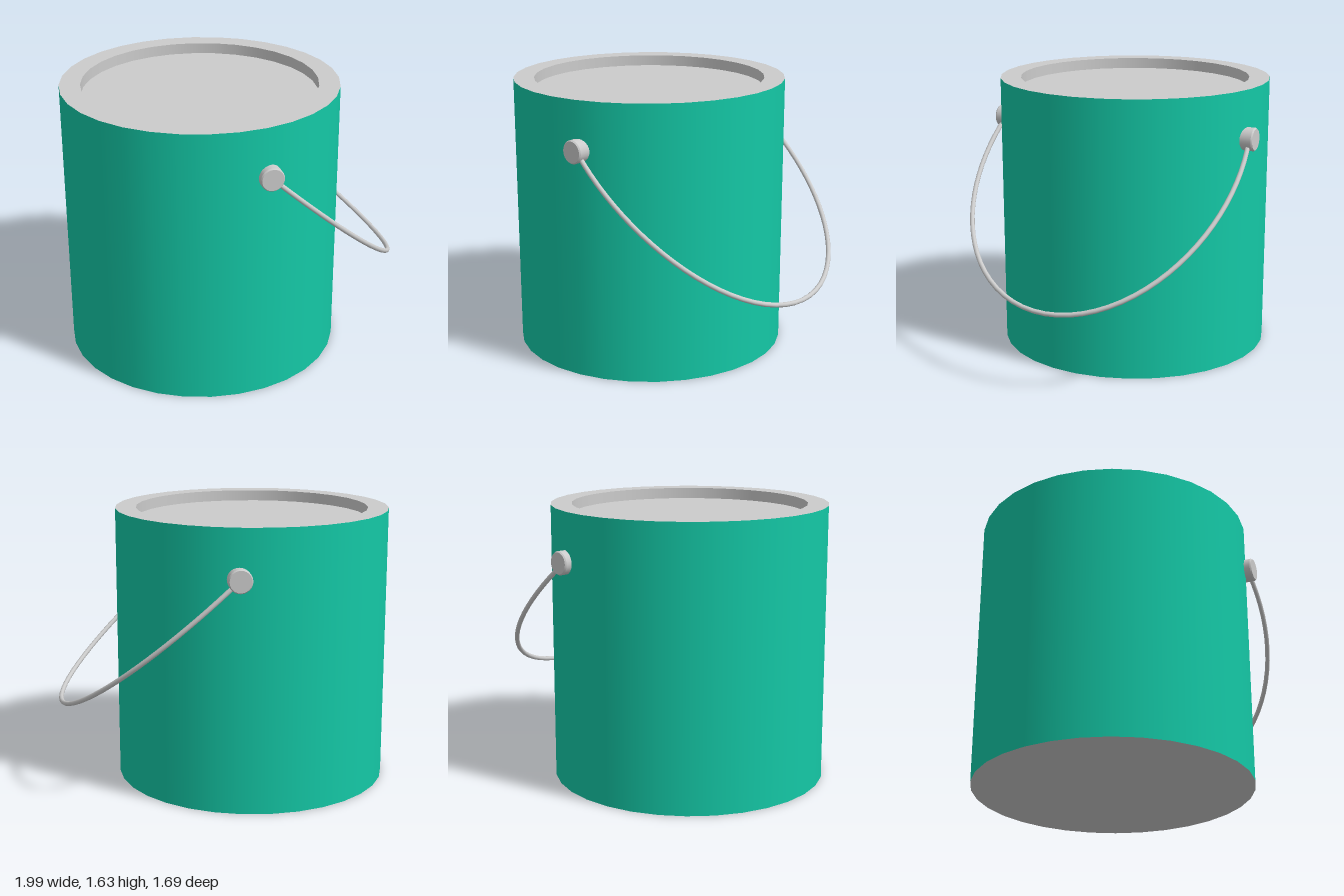
import * as THREE from 'three';

const R = 0.8125, H = 1.635, CX = -0.1875; // can radius, height, axis offset
const LID_R = 0.69, LID_DEPTH = 0.065;
const SIDES = 32;

export function createModel() {
  const model = new THREE.Group();
  const grey = new THREE.MeshStandardMaterial({ color: 0xcccccc });
  const green = new THREE.MeshStandardMaterial({ color: 0x14c8a6 });

  const add = (name, geometry, material, x = 0, y = 0, z = 0) => {
    const mesh = new THREE.Mesh(geometry, material);
    mesh.name = name;
    mesh.position.set(x, y, z);
    model.add(mesh);
    return mesh;
  };

  // Can: coloured wall, flat base, flat rim around a sunken lid
  add('wall', new THREE.CylinderGeometry(R, R, H, SIDES, 1, true), green, CX, H / 2);
  const disc = (r) => new THREE.CircleGeometry(r, SIDES);
  add('base', disc(R).rotateX(Math.PI / 2), grey, CX);
  add('rim', new THREE.RingGeometry(LID_R, R, SIDES).rotateX(-Math.PI / 2), grey, CX, H);
  add('lid', disc(LID_R).rotateX(-Math.PI / 2), grey, CX, H - LID_DEPTH);

  // Inner wall of the lid recess, drawn downwards so that it faces the axis
  const recess = new THREE.LatheGeometry(
    [new THREE.Vector2(LID_R, H), new THREE.Vector2(LID_R, H - LID_DEPTH)], SIDES);
  const recessMaterial = grey.clone();
  recessMaterial.side = THREE.DoubleSide;
  add('lidRecess', recess, recessMaterial, CX);

  // Handle mounts: short round studs on the front and back
  for (const s of [1, -1]) {
    const stud = new THREE.Group();
    stud.name = s > 0 ? 'frontHandleMount' : 'backHandleMount';
    const barrel = new THREE.Mesh(new THREE.CylinderGeometry(0.068, 0.068, 0.1, 24), grey);
    barrel.name = 'mountBarrel';
    barrel.position.y = 0.05;
    const cap = new THREE.Mesh(new THREE.CylinderGeometry(0.062, 0.068, 0.008, 24), grey);
    cap.name = 'mountCap';
    cap.position.y = 0.104;
    stud.add(barrel, cap);
    stud.rotation.x = s * Math.PI / 2;
    stud.position.set(-0.008, 1.35, s * 0.737);
    model.add(stud);
  }

  // Wire handle: half an ellipse, tilted down towards +x
  const a0 = -0.27, points = [];
  for (let i = 0; i <= 32; i++) {
    const a = a0 + (Math.PI - 2 * a0) * i / 32;
    const t = Math.sin(a);
    points.push(new THREE.Vector3(0.16 + 0.815 * t, 1.2 - 0.713 * t, 0.822 * Math.cos(a)));
  }
  const path = new THREE.CatmullRomCurve3(points);
  add('handle', new THREE.TubeGeometry(path, 48, 0.014, 10), grey);
  for (const end of [0, 1]) {
    const tip = add('handleEnd', new THREE.CircleGeometry(0.014, 10), grey);
    tip.position.copy(path.getPointAt(end));
    const out = path.getTangentAt(end).multiplyScalar(end ? 1 : -1);
    tip.quaternion.setFromUnitVectors(new THREE.Vector3(0, 0, 1), out);
  }

  return model;
}
